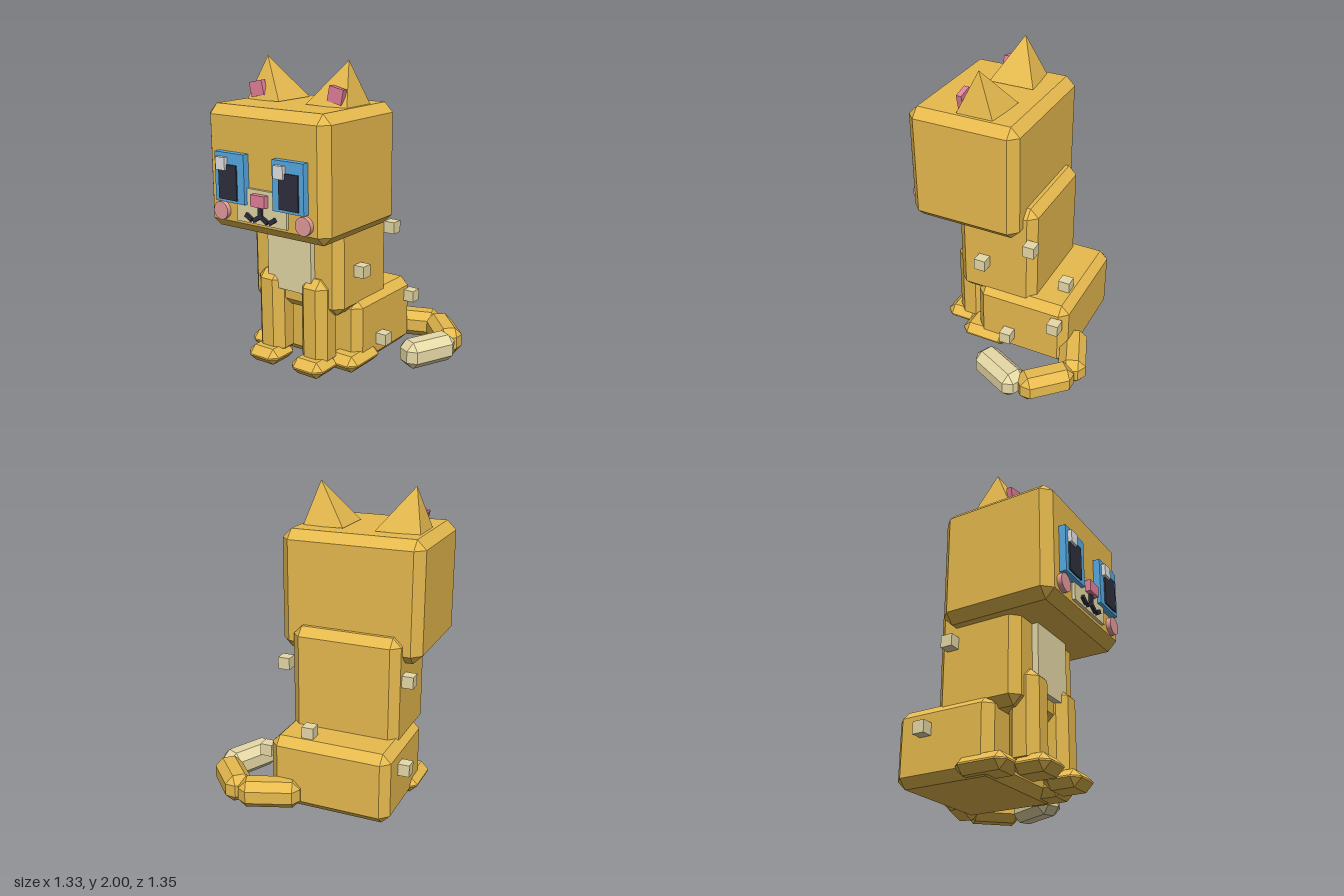
import * as THREE from 'three';
import { ConvexGeometry } from 'three/addons/geometries/ConvexGeometry.js';

const mat = (name, color) => {
  const m = new THREE.MeshStandardMaterial({ color });
  m.name = name;
  return m;
};

export function createModel() {
  const fur = mat('golden fur', 0xf4c553);
  const cream = mat('cream', 0xf8eab4);
  const pink = mat('pink', 0xf48aa6);
  const blush = mat('blush', 0xf8aaa8);
  const blue = mat('eye blue', 0x60bcfa);
  const dark = mat('dark', 0x30303f);
  const white = mat('white', 0xfafafa);

  const cat = new THREE.Group();
  cat.name = 'blockCat';
  const CX = -0.2; // the cat's own middle line; the tail curls out to its left

  const add = (name, geo, material, x, y, z, rz = 0) => {
    const m = new THREE.Mesh(geo, material);
    m.name = name;
    m.position.set(x, y, z);
    m.rotation.z = rz;
    cat.add(m);
    return m;
  };

  const box = (name, material, w, h, d, x, y, z, rz) =>
    add(name, new THREE.BoxGeometry(w, h, d), material, x, y, z, rz);

  // Box with every edge cut at 45 degrees
  const bevelBox = (w, h, d, c) => {
    const pts = [];
    const [a, b, e] = [w / 2, h / 2, d / 2];
    for (const i of [-1, 1]) for (const j of [-1, 1]) for (const k of [-1, 1]) {
      pts.push(
        new THREE.Vector3(i * a, j * (b - c), k * (e - c)),
        new THREE.Vector3(i * (a - c), j * b, k * (e - c)),
        new THREE.Vector3(i * (a - c), j * (b - c), k * e));
    }
    return new ConvexGeometry(pts);
  };

  // Head and body
  add('head', bevelBox(0.94, 0.78, 0.76, 0.06), fur, CX, 1.34, 0.22);
  add('torso', bevelBox(0.72, 0.73, 0.56, 0.055), fur, CX, 0.765, 0.04);
  add('haunches', bevelBox(0.8, 0.47, 0.66, 0.055), fur, CX, 0.24, -0.16);
  box('chestPatch', cream, 0.35, 0.47, 0.08, CX - 0.005, 0.765, 0.32);

  // Muzzle, nose and mouth stem
  box('muzzle', cream, 0.39, 0.215, 0.04, CX, 1.137, 0.6);
  box('nose', pink, 0.11, 0.075, 0.05, CX, 1.183, 0.63);
  box('mouthStem', dark, 0.03, 0.07, 0.02, CX, 1.11, 0.627);

  // Ear: leaning four-sided spike
  const earGeometry = (s) => new ConvexGeometry([
    [0.39, 1.725, 0.03], [0.105, 1.735, 0.0], [0.105, 1.735, 0.31],
    [0.39, 1.725, 0.28], [0.318, 2.0, 0.155],
  ].map(([x, y, z]) => new THREE.Vector3(CX + s * x, y, z)));

  const disc = new THREE.CylinderGeometry(0.058, 0.058, 0.04, 20).rotateX(Math.PI / 2);

  // Paired parts
  for (const [s, side] of [[1, 'left'], [-1, 'right']]) {
    add(side + 'Ear', earGeometry(s), fur, 0, 0, 0);
    box(side + 'InnerEar', pink, 0.105, 0.095, 0.035, CX + s * 0.308, 1.8, 0.268, -s * 0.21);
    box(side + 'Eye', blue, 0.235, 0.31, 0.06, CX + s * 0.228, 1.297, 0.614);
    box(side + 'Pupil', dark, 0.145, 0.22, 0.05, CX + s * 0.238, 1.27, 0.629);
    box(side + 'EyeGlint', white, 0.074, 0.08, 0.05, CX + s * 0.228 - 0.052, 1.385, 0.645);
    add(side + 'Cheek', disc, blush, CX + s * 0.324, 1.075, 0.61);
    box(side + 'InnerMouth', dark, 0.065, 0.026, 0.02, CX + s * 0.028, 1.068, 0.627, -s * 0.54);
    box(side + 'OuterMouth', dark, 0.055, 0.028, 0.02, CX + s * 0.093, 1.068, 0.627, s * 0.54);
    add(side + 'FrontLeg', bevelBox(0.205, 0.59, 0.2, 0.055), fur, CX + s * 0.175, 0.345, 0.288);
    add(side + 'FrontPaw', bevelBox(0.25, 0.11, 0.25, 0.05), fur, CX + s * 0.18, 0.063, 0.35);
    add(side + 'HindPaw', bevelBox(0.24, 0.11, 0.34, 0.05), fur, CX + s * 0.32, 0.068, 0.11);
  }

  // Tail: three bevelled bars laid end to end
  const path = [[-0.01, -0.47], [0.36, -0.61], [0.6, -0.342], [0.44, 0.0]];
  const joints = [
    ['tailBase', fur, path[0], path[1]],
    ['tailMiddle', fur, [0.346, -0.606], path[2]],
    ['tailTip', cream, path[2], path[3]],
  ];
  for (const [name, material, [x0, z0], [x1, z1]] of joints) {
    const len = Math.hypot(x1 - x0, z1 - z0);
    const bar = add(name, bevelBox(0.18, 0.18, len, 0.05), material, (x0 + x1) / 2, 0.115, (z0 + z1) / 2);
    bar.rotation.y = Math.atan2(x1 - x0, z1 - z0);
  }

  // Small cream tufts on the coat
  const tufts = [
    [-0.595, 0.845, -0.12], [-0.635, 0.32, -0.265], [0.195, 0.89, -0.23], [0.195, 0.68, 0.12],
    [0.235, 0.36, -0.425], [0.235, 0.16, -0.08], [-0.038, 0.51, -0.385],
  ];
  for (const [x, y, z] of tufts) box('furTuft', cream, 0.078, 0.078, 0.078, x, y, z);

  return cat;
}
